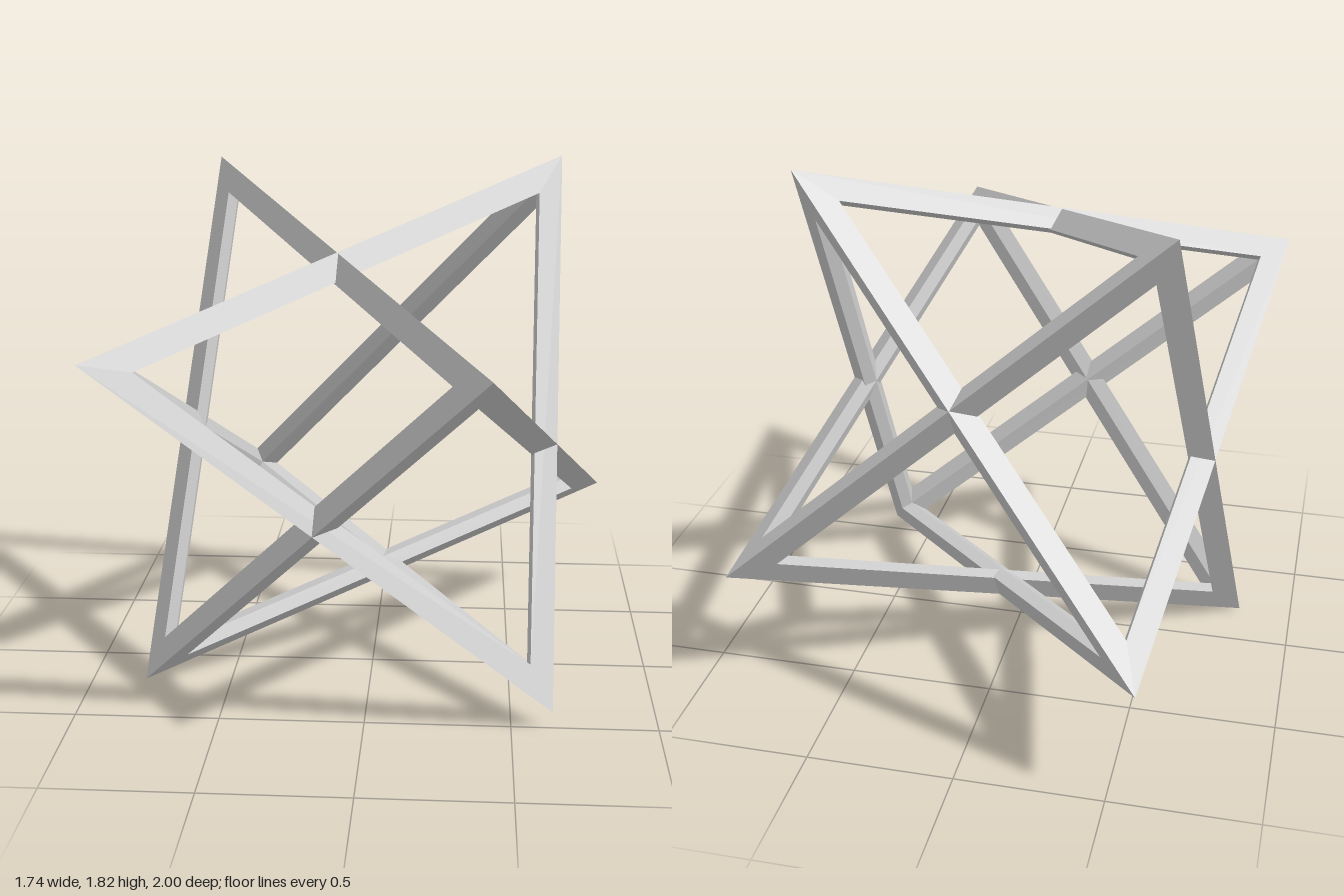
import * as THREE from 'three';

const BAND = 0.09;   // width of the flat band on each outer face
const INNER = 0.87;  // scale of the inner ridges about the centre

// One mitred bar along edge a-b: two outer bands and two inner faces meeting in a ridge
function barGeometry(a, b, others, centre) {
  const pos = [];
  const ridge = v => centre.clone().lerp(v, INNER);
  others.forEach((c, i) => {
    const mid = a.clone().add(b).add(c).divideScalar(3);
    const inset = v => v.clone().addScaledVector(mid.clone().sub(v).normalize(), 2 * BAND);
    const pa = inset(a), pb = inset(b);
    // the face a-b-c must wind outward, away from the centre
    const n = b.clone().sub(a).cross(c.clone().sub(a));
    const outward = n.dot(mid.clone().sub(centre)) > 0;
    const quad = (p, q, r, s) => {
      const tris = outward ? [p, q, r, p, r, s] : [p, r, q, p, s, r];
      tris.forEach(v => pos.push(v.x, v.y, v.z));
    };
    quad(a, b, pb, pa);
    quad(pa, pb, ridge(b), ridge(a));
  });
  const g = new THREE.BufferGeometry();
  g.setAttribute('position', new THREE.Float32BufferAttribute(pos, 3));
  g.computeVertexNormals();
  return g;
}

// Open tetrahedral frame made of six bars
function tetraFrame(name, corners, material) {
  const group = new THREE.Group();
  group.name = name;
  const v = corners.map(c => new THREE.Vector3(...c));
  const centre = v.reduce((s, p) => s.add(p), new THREE.Vector3()).divideScalar(4);
  for (let i = 0; i < 4; i++) {
    for (let j = i + 1; j < 4; j++) {
      const others = v.filter((_, k) => k !== i && k !== j);
      const bar = new THREE.Mesh(barGeometry(v[i], v[j], others, centre), material);
      bar.name = 'edgeBar';
      group.add(bar);
    }
  }
  return group;
}

export function createModel() {
  const material = new THREE.MeshStandardMaterial({
    color: 0xcccccc, flatShading: true, side: THREE.DoubleSide,
  });
  const model = new THREE.Group();
  model.name = 'interlockedTetrahedra';
  // Two equal frames sharing one centre, crossing at their bars
  model.add(tetraFrame('firstTetrahedron', [
    [-0.615, 1.775, -0.64], [0.405, 1.345, 0.995], [0.865, 0.47, -0.71], [-0.81, 0, 0.21],
  ], material));
  model.add(tetraFrame('secondTetrahedron', [
    [0.66, 1.82, -0.39], [-0.87, 1.31, 0.74], [-0.585, 0.415, -1], [0.64, 0.06, 0.505],
  ], material));
  return model;
}
